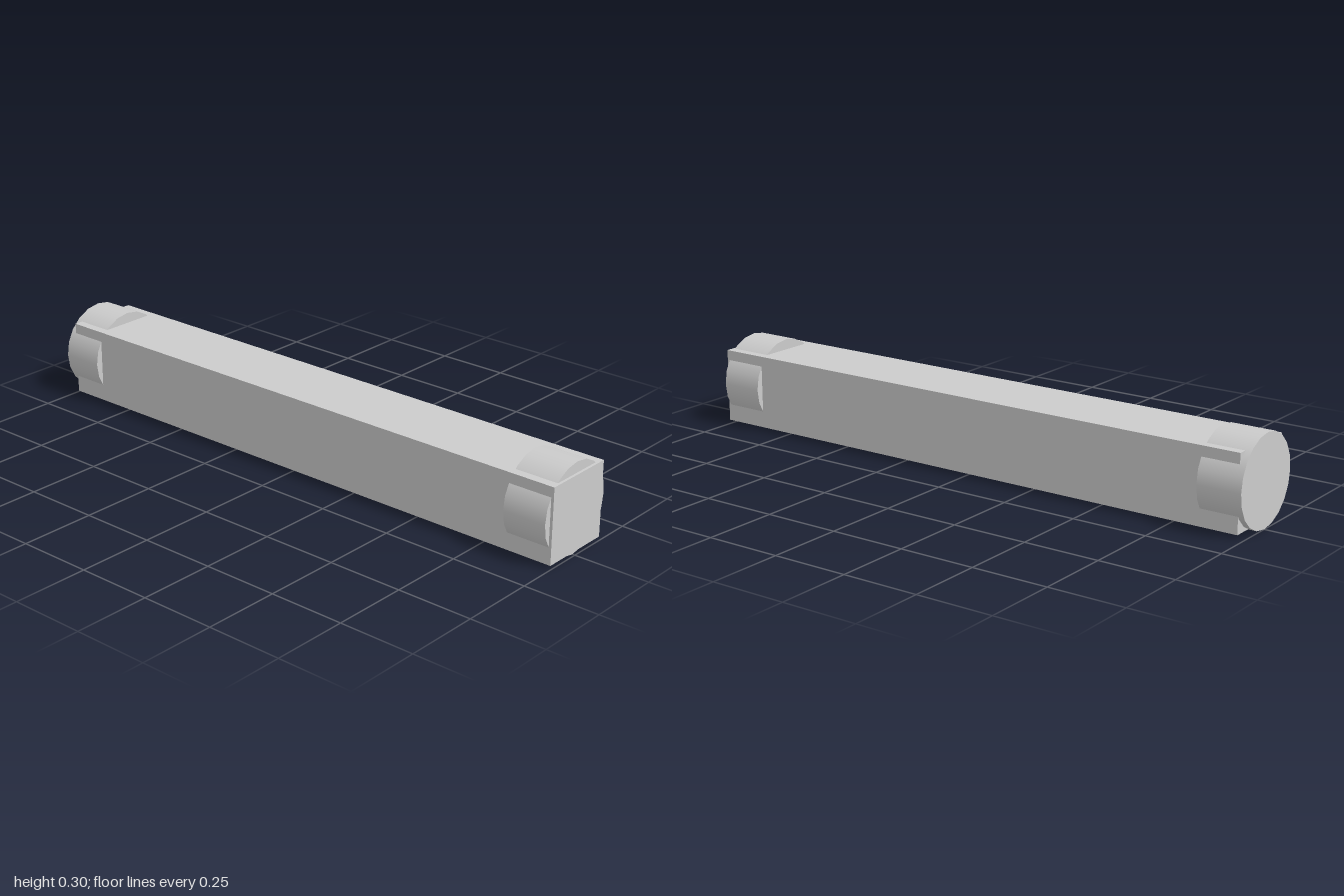
import * as THREE from 'three';

export function createModel() {
  const group = new THREE.Group();
  const material = new THREE.MeshStandardMaterial({ color: 0xcccccc });

  // Long square beam
  const beam = new THREE.Mesh(new THREE.BoxGeometry(1.98, 0.247, 0.248), material);
  beam.name = 'beam';
  beam.position.set(0.01, 0.138, 0);
  group.add(beam);

  // Round collar around each end, both shifted slightly toward -x
  const collarGeometry = new THREE.CylinderGeometry(0.148, 0.148, 0.146, 20).rotateZ(Math.PI / 2);
  for (const [name, x] of [['leftCollar', 0.918], ['rightCollar', -0.927]]) {
    const collar = new THREE.Mesh(collarGeometry, material);
    collar.name = name;
    collar.position.set(x, 0.149, 0);
    group.add(collar);
  }
  return group;
}
